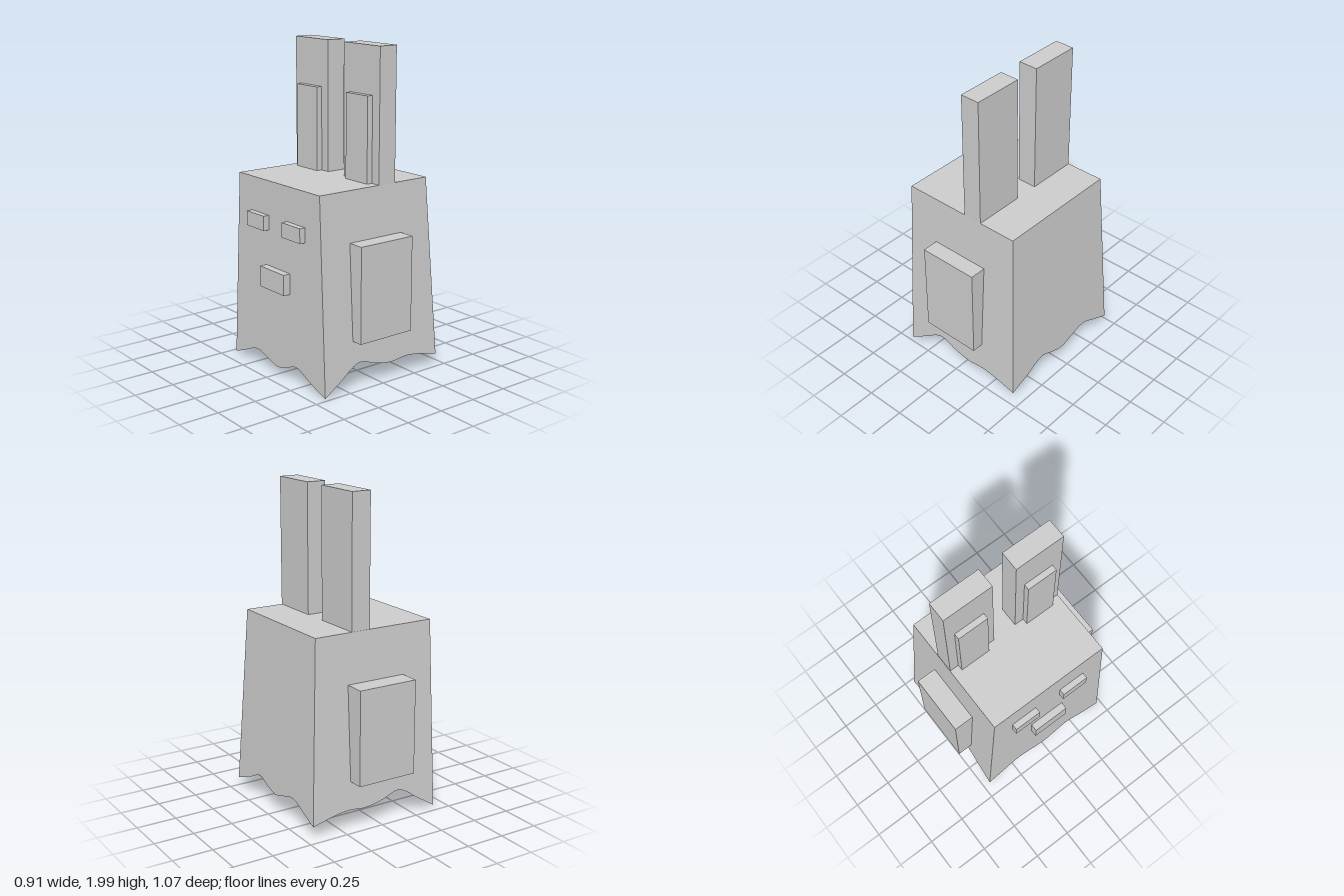
import * as THREE from 'three';

const material = new THREE.MeshStandardMaterial({ color: 0xcccccc });

// Box given by its min/max extents on each axis
function block(name, [x0, x1], [y0, y1], [z0, z1]) {
  const mesh = new THREE.Mesh(new THREE.BoxGeometry(x1 - x0, y1 - y0, z1 - z0), material);
  mesh.position.set((x0 + x1) / 2, (y0 + y1) / 2, (z0 + z1) / 2);
  mesh.name = name;
  return mesh;
}

// Smooth height curve through [position, height] points
function heightCurve(points) {
  const curve = new THREE.SplineCurve(points.map(([u, h]) => new THREE.Vector2(u, h)));
  const samples = curve.getPoints(100);
  return (u) => {
    const i = samples.findIndex((p) => p.x >= u);
    if (i === 0) return samples[0].y;
    if (i < 0) return samples[100].y;
    const a = samples[i - 1], b = samples[i];
    return a.y + (b.y - a.y) * (u - a.x) / (b.x - a.x);
  };
}

const waveX = heightCurve([[-0.415, 0.012], [-0.3, 0.085], [-0.16, 0.17], [-0.03, 0.135],
  [0.09, 0.115], [0.2, 0.125], [0.3, 0.115], [0.455, 0.08]]);
const waveZ = heightCurve([[-0.45, 0.01], [-0.35, 0.05], [-0.22, 0.1], [-0.1, 0.075], [0, 0.05],
  [0.1, 0.075], [0.2, 0.105], [0.33, 0.05], [0.47, 0]]);

// Wavy hem: ridges along both axes with a sagging middle
function hemHeight(x, z) {
  const sag = 0.09 * Math.max(0, 1 - (x / 0.42) ** 2) * Math.max(0, 1 - (z / 0.43) ** 2);
  return waveX(x) + waveZ(z) - sag;
}

// Tapered body with flat sides and a wavy underside
function createBody() {
  const geometry = new THREE.BoxGeometry(1, 1, 1, 28, 1, 28);
  const pos = geometry.attributes.position;
  const lerp = THREE.MathUtils.lerp;
  for (let i = 0; i < pos.count; i++) {
    const u = pos.getX(i) + 0.5, w = pos.getZ(i) + 0.5;
    let y = 1.2;
    if (pos.getY(i) < 0) y = hemHeight(lerp(-0.415, 0.455, u), lerp(-0.45, 0.47, w));
    const t = (1.2 - y) / 1.12; // keeps the side walls planar
    pos.setXYZ(i,
      lerp(-0.405 - 0.01 * t, 0.395 + 0.058 * t, u), y,
      lerp(-0.39 - 0.06 * t, 0.41 + 0.06 * t, w));
  }
  geometry.computeVertexNormals();
  const body = new THREE.Mesh(geometry, material);
  body.name = 'body';
  return body;
}

export function createModel() {
  const model = new THREE.Group();
  model.name = 'longEaredCreature';
  model.add(createBody());

  // Arms on the front and back walls
  model.add(block('leftArm', [-0.2, 0.187], [0.31, 0.895], [0.425, 0.53]));
  model.add(block('rightArm', [-0.2, 0.187], [0.31, 0.895], [-0.535, -0.408]));

  // Ears with thin inner panels, and eyes on the -x face
  const pairs = [
    { side: 'left', ear: [0.09, 0.41], inner: [0.15, 0.347], eye: [0.1, 0.277] },
    { side: 'right', ear: [-0.388, -0.066], inner: [-0.33, -0.13], eye: [-0.26, -0.083] },
  ];
  for (const { side, ear, inner, eye } of pairs) {
    model.add(block(side + 'Ear', [0.027, 0.15], [1.19, 2], ear));
    model.add(block(side + 'InnerEar', [-0.01, 0.03], [1.19, 1.715], inner));
    model.add(block(side + 'Eye', [-0.445, -0.4], [0.9, 0.99], eye));
  }

  // Mouth
  model.add(block('mouth', [-0.456, -0.4], [0.553, 0.68], [-0.11, 0.13]));
  return model;
}
